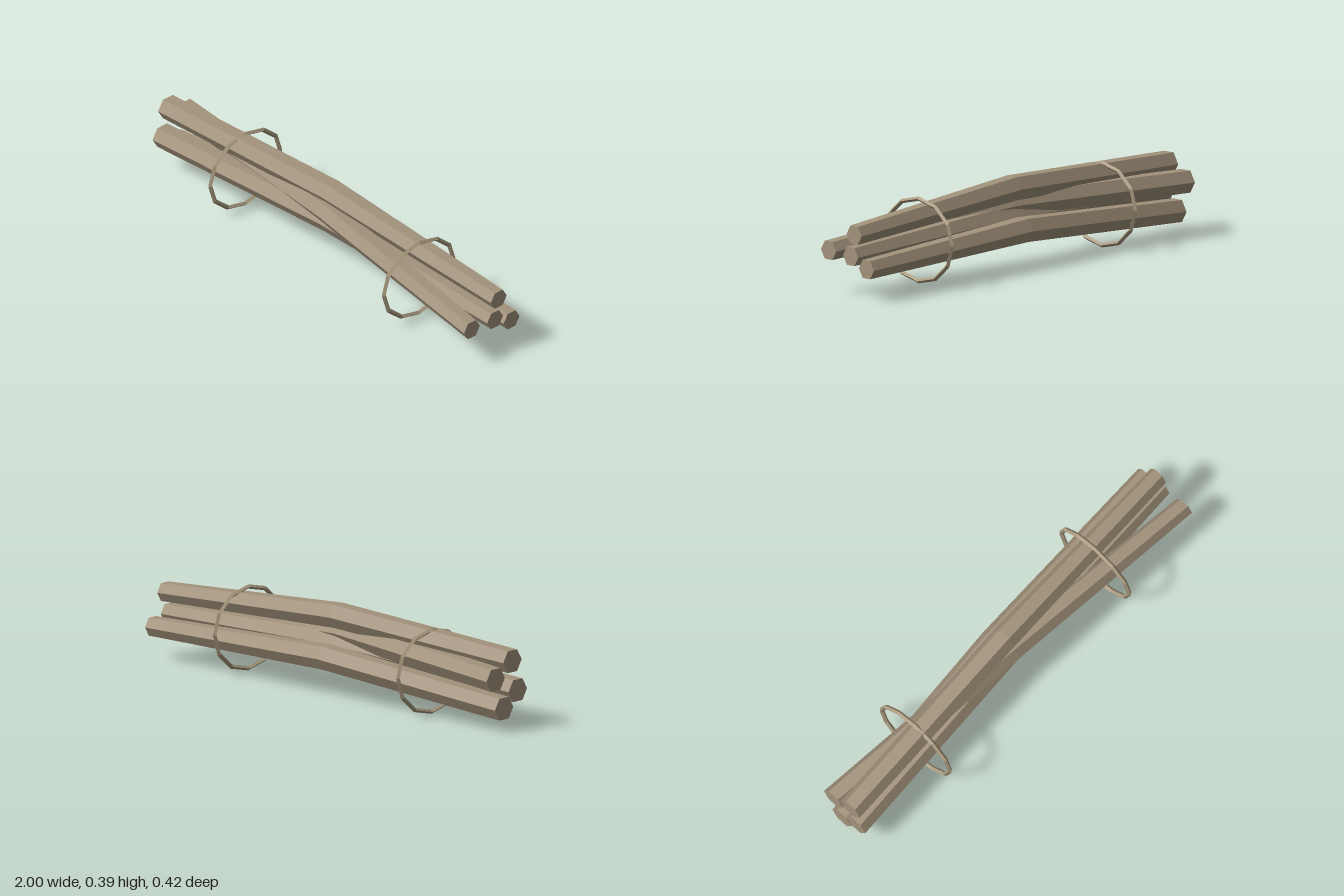
import * as THREE from 'three';

const wood = new THREE.MeshStandardMaterial({ color: 0xa3937c });
wood.name = 'weathered wood';
const rope = new THREE.MeshStandardMaterial({ color: 0xa8997e });
rope.name = 'binding cord';

// Faceted normals
function facet(geometry) {
  const g = geometry.toNonIndexed();
  g.computeVertexNormals();
  return g;
}

// Hexagonal pole, thick at the kink in the middle; each point is [y, z] at x = -1, 0, 1
function makePole(points) {
  const radii = [0.055, 0.058, 0.045];
  const g = new THREE.CylinderGeometry(1, 1, 2, 6, 2).rotateZ(-Math.PI / 2);
  const p = g.attributes.position;
  for (let i = 0; i < p.count; i++) {
    const k = Math.round(p.getX(i)) + 1;
    p.setY(i, p.getY(i) * radii[k] + points[k][0]);
    p.setZ(i, p.getZ(i) * radii[k] + points[k][1]);
  }
  return new THREE.Mesh(facet(g), wood);
}

export function createModel() {
  const group = new THREE.Group();
  group.name = 'poleBundle';

  // Four crossing poles
  const poles = {
    topPole: [[0.3, 0.042], [0.338, -0.009], [0.28, -0.056]],
    crossingPole: [[0.235, -0.058], [0.262, 0.024], [0.193, 0.097]],
    middlePole: [[0.168, 0.074], [0.215, 0.012], [0.185, -0.035]],
    bottomPole: [[0.101, -0.008], [0.167, -0.077], [0.141, -0.129]],
  };
  for (const [name, points] of Object.entries(poles)) {
    const pole = makePole(points);
    pole.name = name;
    group.add(pole);
  }

  // Two loose oval hoops with a diamond section
  for (const side of [-1, 1]) {
    const g = new THREE.TorusGeometry(0.2, 0.0107, 4, 12);
    g.rotateY(Math.PI / 2).scale(1, 0.893, 1);
    const hoop = new THREE.Mesh(facet(g), rope);
    hoop.name = side > 0 ? 'leftHoop' : 'rightHoop';
    hoop.position.set(side * 0.553, 0.189, 0);
    group.add(hoop);
  }
  return group;
}
